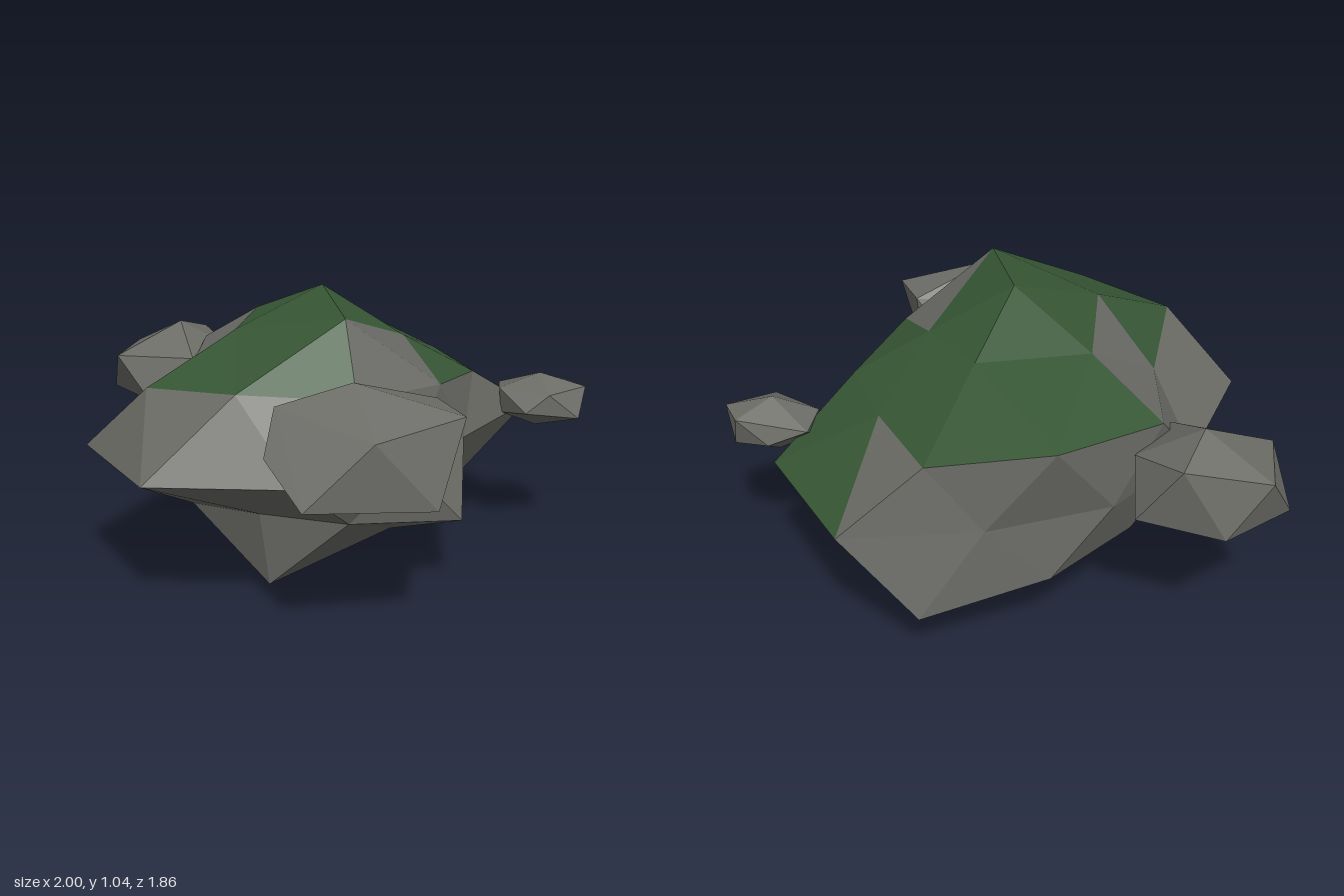
import * as THREE from 'three';
import { ConvexGeometry } from 'three/addons/geometries/ConvexGeometry.js';

const stone = new THREE.MeshStandardMaterial({ color: 0x6c6c67 });
stone.name = 'stone';
const moss = new THREE.MeshStandardMaterial({ color: 0x375735 });
moss.name = 'moss';
stone.flatShading = moss.flatShading = true;

// Cross-sections of the main rock, from top to bottom, going round from +x to +z
const peak = [-0.03, 1.045, -0.11];
const crown = [[0.28, 0.855, -0.12], [0.1, 1.0, 0.345], [-0.32, 0.915, 0.14], [-0.32, 0.91, -0.345], [0.07, 0.895, -0.43]];
const shoulder = [
  [0.55, 0.705, -0.18], [0.43, 0.745, 0.21], [0.16, 0.77, 0.57], [-0.24, 0.79, 0.61], [-0.59, 0.755, 0.41],
  [-0.54, 0.71, -0.05], [-0.57, 0.75, -0.515], [-0.24, 0.795, -0.825], [0.18, 0.74, -0.855], [0.39, 0.725, -0.52],
];
const waist = [
  [0.52, 0.04], [0.33, 0.42], [-0.02, 0.71], [-0.54, 0.735], [-0.86, 0.28],
  [-0.69, -0.29], [-0.42, -0.65], [-0.01, -0.84], [0.46, -0.93], [0.78, -0.5],
].map(([x, z]) => [x, 0.5, z]);
const belly = [
  [0.5, 0.28, -0.17], [0.52, 0.265, 0.3], [0.125, 0.29, 0.45], [-0.195, 0.31, 0.43], [-0.48, 0.265, 0.22],
  [-0.5, 0.3, -0.12], [-0.48, 0.27, -0.44], [-0.22, 0.26, -0.75], [0.2, 0.19, -0.925], [0.5, 0.265, -0.64],
];
const foot = [[0.25, 0.14, 0.08], [-0.17, 0.02, 0.38], [-0.435, 0.045, -0.11], [-0.15, 0.1, -0.49], [0.27, 0.09, -0.39]];
const base = [-0.03, 0, -0.11];

// Corners of the small boulders
const boulders = {
  frontBoulder: [
    [0.15, 0.84, 0.6], [0.52, 0.735, 0.6], [0.24, 0.71, 0.86], [-0.105, 0.765, 0.65], [0.42, 0.745, 0.4],
    [0.02, 0.5, 0.93], [0.44, 0.47, 0.78], [-0.125, 0.62, 0.76], [0.14, 0.385, 0.59], [0.4, 0.5, 0.42],
    [0.3, 0.6, 0.375], [-0.05, 0.49, 0.62], [0.02, 0.7, 0.47],
  ],
  rightBoulder: [
    [-0.7, 0.795, -0.61], [-0.92, 0.68, -0.745], [-0.63, 0.74, -0.8], [-0.48, 0.68, -0.61], [-0.6, 0.68, -0.38],
    [-0.94, 0.67, -0.45], [-1, 0.5, -0.61], [-0.78, 0.5, -0.81], [-0.49, 0.52, -0.75], [-0.59, 0.48, -0.36],
    [-0.79, 0.5, -0.37], [-0.71, 0.4, -0.61],
  ],
  leftBoulder: [
    [0.82, 0.67, -0.33], [0.665, 0.6, -0.45], [0.93, 0.62, -0.43], [1, 0.62, -0.32], [0.85, 0.61, -0.19],
    [0.66, 0.61, -0.3], [0.81, 0.54, -0.46], [0.97, 0.51, -0.23], [0.76, 0.54, -0.165], [0.67, 0.51, -0.3],
    [0.95, 0.51, -0.4], [0.81, 0.455, -0.33],
  ],
};

function facetMesh(name, faces, material) {
  const geometry = new THREE.BufferGeometry();
  geometry.setAttribute('position', new THREE.Float32BufferAttribute(faces.flat(2), 3));
  geometry.computeVertexNormals();
  const mesh = new THREE.Mesh(geometry, material);
  mesh.name = name;
  return mesh;
}

export function createModel() {
  const group = new THREE.Group();
  group.name = 'mossyRock';
  const rockFaces = [], mossFaces = [];
  const add = (mossy, ...face) => (mossy ? mossFaces : rockFaces).push(face);
  const at = (ring, i) => ring[(i + ring.length) % ring.length];

  // Crown and foot: five-sided caps; a few crown facets stay bare
  for (let k = 0; k < 5; k++) {
    const t = crown[k], tNext = at(crown, k + 1);
    add(true, peak, tNext, t);
    add(k !== 1 && k !== 3, t, at(shoulder, 2 * k), at(shoulder, 2 * k - 1));
    add(true, t, at(shoulder, 2 * k + 1), at(shoulder, 2 * k));
    add(k !== 0 && k !== 2, t, tNext, at(shoulder, 2 * k + 1));

    const b = foot[k], bNext = at(foot, k + 1);
    add(false, base, b, bNext);
    add(false, b, at(belly, 2 * k), at(belly, 2 * k + 1));
    add(false, b, at(belly, 2 * k + 1), at(belly, 2 * k + 2));
    add(false, b, at(belly, 2 * k + 2), bNext);
  }

  // Sides: two zigzag bands; moss spills down one back corner
  for (let j = 0; j < 10; j++) {
    const spill = j === 9;
    add(spill, shoulder[j], at(shoulder, j + 1), waist[j]);
    add(spill, shoulder[j], waist[j], at(waist, j - 1));
    add(false, waist[j], at(waist, j + 1), at(belly, j + 1));
    add(false, waist[j], at(belly, j + 1), belly[j]);
  }
  group.add(facetMesh('mainRock', rockFaces, stone), facetMesh('mossCap', mossFaces, moss));

  // Small boulders around the main rock
  for (const [name, points] of Object.entries(boulders)) {
    const mesh = new THREE.Mesh(new ConvexGeometry(points.map((p) => new THREE.Vector3(...p))), stone);
    mesh.name = name;
    group.add(mesh);
  }
  return group;
}
